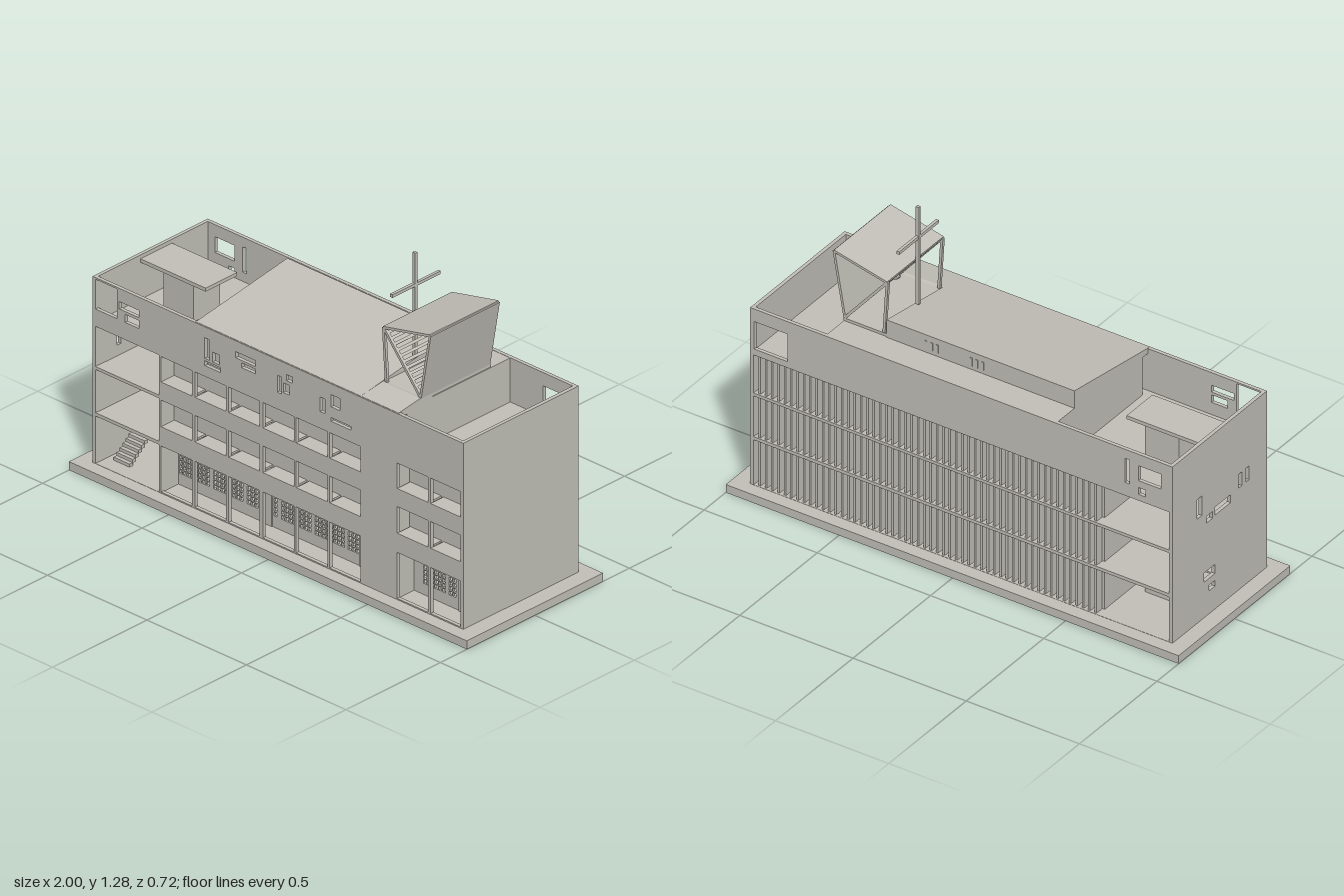
import * as THREE from 'three';

const concrete = new THREE.MeshStandardMaterial({ color: 0xc2c0b8 });
concrete.name = 'concrete';

export function createModel() {
  const model = new THREE.Group();
  model.name = 'building';

  const add = (name, geo, parent = model) => {
    const m = new THREE.Mesh(geo, concrete);
    m.name = name;
    parent.add(m);
    return m;
  };
  const group = (name) => {
    const g = new THREE.Group();
    g.name = name;
    model.add(g);
    return g;
  };
  // box given by its limits
  const box = (name, x0, x1, y0, y1, z0, z1, parent) => {
    const m = add(name, new THREE.BoxGeometry(x1 - x0, y1 - y0, z1 - z0), parent);
    m.position.set((x0 + x1) / 2, (y0 + y1) / 2, (z0 + z1) / 2);
    return m;
  };
  const loop = (pts) => pts.map(([x, y]) => new THREE.Vector2(x, y));
  const rect = ([x0, x1, y0, y1]) => loop([[x0, y0], [x1, y0], [x1, y1], [x0, y1]]);
  // upright plate with rectangular openings
  const plate = (name, outline, holes, z, depth, parent) => {
    const shape = new THREE.Shape(rect(outline));
    for (const h of holes) shape.holes.push(new THREE.Path(rect(h).reverse()));
    const geo = new THREE.ExtrudeGeometry(shape, { depth, bevelEnabled: false });
    return add(name, geo.translate(0, 0, z), parent);
  };
  // straight bar between two points in the xy plane, spanning z0..z1
  const bar = (name, a, b, t, z0, z1, parent) => {
    const dx = b[0] - a[0], dy = b[1] - a[1];
    const m = add(name, new THREE.BoxGeometry(Math.hypot(dx, dy), t, z1 - z0), parent);
    m.position.set((a[0] + b[0]) / 2, (a[1] + b[1]) / 2, (z0 + z1) / 2);
    m.rotation.z = Math.atan2(dy, dx);
    return m;
  };

  const W = 0.015;               // wall thickness
  const storeys = [[0.036, 0.232], [0.246, 0.424], [0.437, 0.603]];
  const bays = [-0.59, -0.42, -0.25, -0.078, 0.09, 0.258, 0.597, 0.765].map((x) => [x, x + 0.156]);

  box('plinth', -1, 1, 0, 0.035, -0.36, 0.36);

  // front wall: stair openings, windows and scattered parapet slots
  const frontHoles = [
    [-0.92, -0.81, 0.675, 0.798], [-0.8, -0.7, 0.72, 0.75], [-0.77, -0.7, 0.675, 0.708],
    [-0.37, -0.345, 0.675, 0.76], [-0.33, -0.295, 0.675, 0.715], [-0.37, -0.29, 0.645, 0.665],
    [-0.215, -0.115, 0.735, 0.76], [-0.185, -0.115, 0.705, 0.725], [-0.005, 0.015, 0.67, 0.74],
    [0.025, 0.055, 0.68, 0.72], [0.04, 0.07, 0.735, 0.76], [0.21, 0.235, 0.67, 0.73],
    [0.265, 0.31, 0.71, 0.76], [0.265, 0.365, 0.65, 0.665],
  ];
  for (const [y0, y1] of storeys) frontHoles.push([-0.92, -0.6, y0, y1]);
  const sills = [0.04, 0.31, 0.495], heads = [0.23, 0.42, 0.6];
  for (const [x0, x1] of bays) {
    for (let i = 0; i < 3; i++) frontHoles.push([x0, x1, sills[i], heads[i]]);
  }
  plate('frontWall', [-0.935, 0.93, 0.03, 0.805], frontHoles, 0.29, W);

  // back wall: three open storeys plus parapet slots
  const backHoles = storeys.map(([y0, y1]) => [-0.92, 0.915, y0, y1]);
  backHoles.push([0.765, 0.912, 0.63, 0.75], [-0.745, -0.725, 0.66, 0.765],
    [-0.885, -0.785, 0.69, 0.755], [-0.815, -0.785, 0.63, 0.66]);
  plate('backWall', [-0.935, 0.93, 0.03, 0.805], backHoles, -0.305, W);

  // end walls
  box('leftEndWall', 0.93 - W, 0.93, 0.03, 0.805, -0.305, 0.305);
  const endHoles = [
    [0.12, 0.143, 0.48, 0.54], [0.17, 0.19, 0.48, 0.54], [0.145, 0.17, 0.48, 0.5],
    [-0.145, -0.115, 0.49, 0.575], [-0.085, -0.045, 0.44, 0.47], [-0.03, 0.07, 0.445, 0.48],
    [-0.1, -0.03, 0.19, 0.23], [-0.07, -0.03, 0.135, 0.16],
  ].filter((h) => h[0] !== 0.145);
  const end = plate('rightEndWall', [-0.305, 0.305, 0.03, 0.805], endHoles, 0, W);
  end.rotation.y = -Math.PI / 2;
  end.position.x = -0.92;

  // floors, roof deck and interior partitions
  for (const y of [0.234, 0.426]) box('floorSlab', -0.925, 0.92, y, y + 0.01, -0.295, 0.295);
  box('roofDeck', -0.925, 0.92, 0.604, 0.622, -0.295, 0.295);
  box('innerBackWall', -0.6, 0.92, 0.035, 0.605, -0.215, -0.205);
  box('stairSideWall', -0.605, -0.592, 0.035, 0.605, -0.26, 0.29);
  box('frontPier', 0.42, 0.592, 0.035, 0.605, 0.17, 0.291);

  // bay fillings: open block screens, with doors on the ground floor
  const screens = group('windowScreens');
  const doors = { 2: [-0.18, -0.12], 5: [0.32, 0.385], 7: [0.82, 0.885] };
  bays.forEach(([x0, x1], b) => {
    const left = b === 6 ? 2 : 0;
    const door = doors[b];
    const cells = (rows, top) => {
      const out = [];
      for (let r = 0; r < rows; r++) {
        for (let c = left * (rows > 2); c < 8; c++) {
          const x = x0 + 0.003 + c * 0.0192, y = top - (r + 1) * 0.0195;
          const inDoor = rows > 2 && door && x + 0.015 > door[0] && x < door[1] && y < 0.17;
          if (!inDoor) out.push([x, x + 0.0155, y, y + 0.0155]);
        }
      }
      return out;
    };
    plate('groundScreen', [x0 - 0.008, x1 + 0.008, 0.03, 0.236], cells(7, 0.218), 0.2, 0.01, screens);
    if (door) box('door', door[0], door[1], 0.035, 0.168, 0.208, 0.214, screens);
    for (let i = 1; i < 3; i++) {
      plate('upperScreen', [x0 - 0.008, x1 + 0.008, sills[i] - 0.06, heads[i] + 0.005],
        cells(2, heads[i] + 0.002), 0.225, 0.01, screens);
      box('windowSill', x0, x1, sills[i] - 0.008, sills[i], 0.23, 0.295, screens);
    }
  });

  // vertical sun fins along the back
  const fins = group('sunFins');
  for (const [y0, y1] of storeys) {
    for (let i = 0; i < 54; i++) {
      const x = -0.595 + i * 0.028;
      box('fin', x, x + 0.009, y0 - 0.003, y1 + 0.003, -0.298, -0.262, fins);
    }
  }

  // stair core with its roof canopy
  box('stairCore', -0.81, -0.66, 0.035, 0.775, -0.08, 0.06);
  box('stairCanopy', -0.925, -0.592, 0.775, 0.79, -0.1, 0.067);

  // stair flights, landings and railings
  const stairs = group('stairs');
  [0.035, 0.244, 0.436].forEach((y, s) => {
    const top = [0.236, 0.428, 0.604][s];
    const mid = y + (top - y) * 0.52;
    for (let i = 0; i < 8; i++) {
      const h = y + (mid - y) * (i + 1) / 8;
      const z = 0.24 - i * 0.016;
      if (s === 0) box('step', -0.89, -0.81, h - 0.014, h, z - 0.018, z, stairs);
      const x = -0.815 + i * 0.019, u = mid + (top - mid) * (i + 1) / 8;
      box('step', x, x + 0.02, u - 0.014, u, 0.055, 0.12, stairs);
    }
    box('landing', -0.89, -0.81, mid - 0.008, mid, 0.03, 0.125, stairs);
    box('railPost', -0.89, -0.883, mid, mid + 0.075, 0.03, 0.037, stairs);
    box('railPost', -0.89, -0.883, mid, mid + 0.075, 0.118, 0.125, stairs);
    box('handrail', -0.89, -0.883, mid + 0.07, mid + 0.077, 0.03, 0.125, stairs);
    bar('handrail', [-0.81, mid + 0.065], [-0.68, top - 0.01], 0.006, 0.118, 0.124, stairs);
  });

  // attic block and sloping roof
  box('attic', -0.42, 0.6, 0.61, 0.804, -0.295, 0.255);
  box('atticEdge', -0.42, 0.6, 0.785, 0.804, 0.25, 0.295);
  const slope = (name, x0, x1, pts) => {
    const geo = new THREE.ExtrudeGeometry(new THREE.Shape(loop(pts)), { depth: x1 - x0, bevelEnabled: false });
    geo.rotateY(-Math.PI / 2).translate(x1, 0, 0);
    add(name, geo);
  };
  slope('slopingRoof', -0.42, 0.41, [[0.3, 0.8], [0.3, 0.806], [-0.185, 0.88], [-0.185, 0.8]]);
  slope('roofReturn', 0.41, 0.6, [[0.3, 0.8], [0.3, 0.806], [0.185, 0.822], [0.12, 0.806], [0.12, 0.8]]);
  for (let i = 0; i < 6; i++) {
    const x = -0.02 + Math.floor(i / 3) * 0.2 + (i % 3) * 0.025;
    box('roofVent', x, x + 0.01, 0.82, 0.855, -0.188, -0.183);
  }

  // bell tower: leaning canopy, legs and slatted diagonal
  const tower = group('bellTower');
  const A = [0.408, 1.042], B = [0.643, 1.094], C = [0.595, 0.82], D = [0.422, 0.82];
  bar('canopyRoof', A, B, 0.01, -0.185, 0.18, tower);
  bar('canopyBack', B, C, 0.01, -0.185, 0.18, tower);
  bar('towerBase', [0.41, 0.813], [0.6, 0.813], 0.012, -0.185, 0.18, tower);
  for (const z of [-0.185, 0.168]) {
    bar('leg', A, D, 0.011, z, z + 0.012, tower);
    bar('diagonal', A, C, 0.011, z, z + 0.012, tower);
  }
  for (let i = 1; i < 12; i++) {
    const at = (t) => [A[0] + (C[0] - A[0]) * t, A[1] + (C[1] - A[1]) * t];
    bar('slat', at(i / 12 - 0.02), at(i / 12 + 0.02), 0.006, -0.18, 0.175, tower);
  }

  // hanging bell
  const profile = loop([[0, 0.045], [0.01, 0.045], [0.013, 0.03], [0.017, 0.008], [0.024, 0], [0, 0]]).reverse();
  add('bell', new THREE.LatheGeometry(profile, 16), tower).position.set(0.503, 0.935, 0);
  box('bellRod', 0.5, 0.506, 0.975, 1.062, -0.003, 0.003, tower);

  // roof cross
  box('crossPost', 0.39, 0.404, 0.855, 1.28, -0.006, 0.006);
  box('crossArm', 0.391, 0.403, 1.141, 1.154, -0.13, 0.125);

  return model;
}
